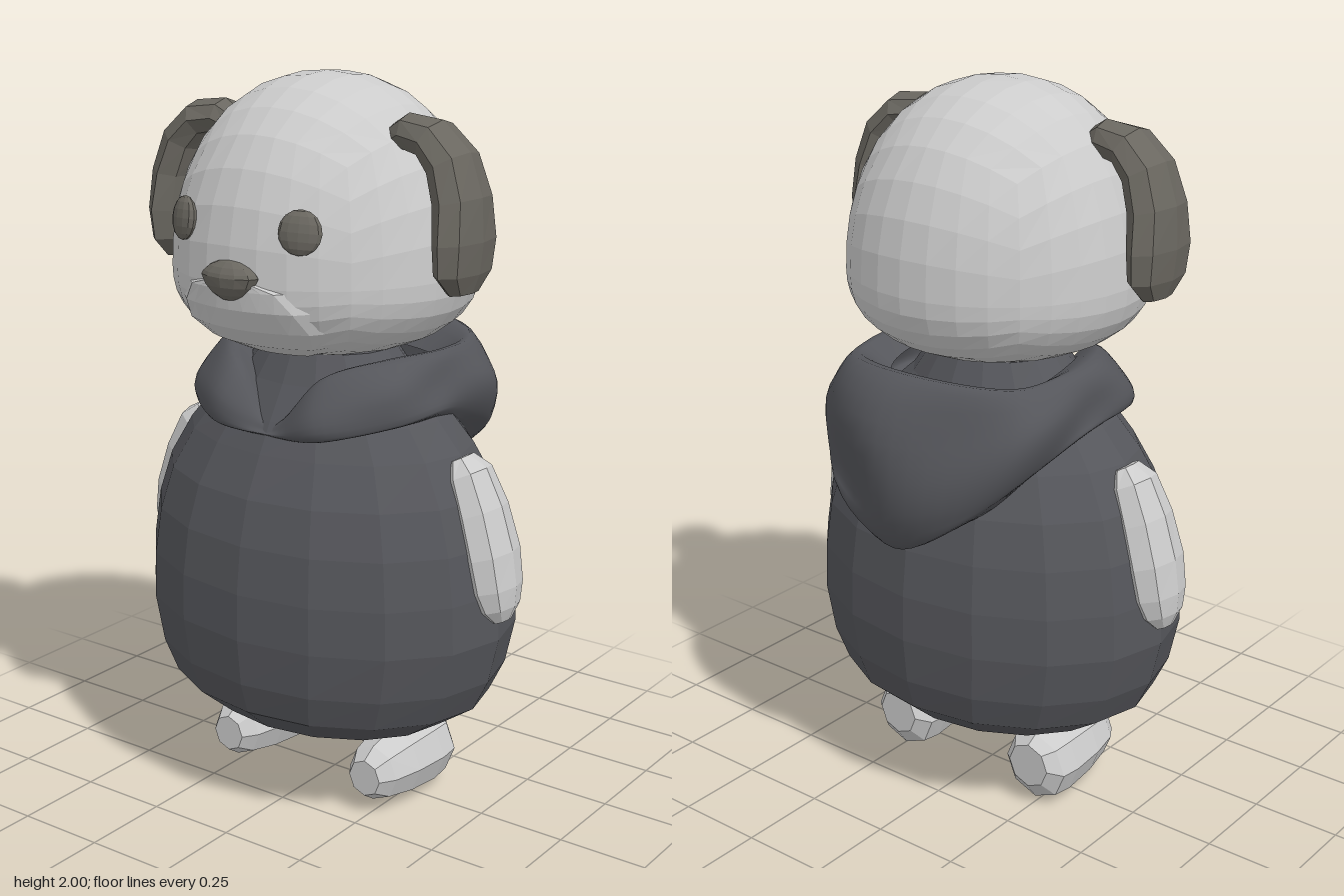
import * as THREE from 'three';

const grey = new THREE.MeshStandardMaterial({ color: 0xcccccc, flatShading: true });
const greyThin = new THREE.MeshStandardMaterial({ color: 0xcccccc, flatShading: true, side: THREE.DoubleSide });
const brown = new THREE.MeshStandardMaterial({ color: 0x6a6760, flatShading: true });
const cloth = new THREE.MeshStandardMaterial({ color: 0x55565b, flatShading: true });
const softCloth = new THREE.MeshStandardMaterial({ color: 0x55565b, side: THREE.DoubleSide });

const V = (x, y, z) => new THREE.Vector3(x, y, z);

// Skin a list of rings (equal point counts), optionally closed round and capped at both ends
function loft(rings, { closed = true, caps = true } = {}) {
  const n = rings[0].length, pos = [], idx = [];
  rings.forEach(r => r.forEach(p => pos.push(p.x, p.y, p.z)));
  for (let i = 0; i < rings.length - 1; i++) {
    for (let j = 0; j < (closed ? n : n - 1); j++) {
      const k = (j + 1) % n, a = i * n + j, b = i * n + k;
      idx.push(a, b, b + n, a, b + n, a + n);
    }
  }
  if (caps) {
    [0, rings.length - 1].forEach((row, end) => {
      const c = rings[row].reduce((s, p) => s.add(p), V(0, 0, 0)).divideScalar(n);
      const ci = pos.length / 3;
      pos.push(c.x, c.y, c.z);
      for (let j = 0; j < n; j++) {
        const a = row * n + j, b = row * n + (j + 1) % n;
        end ? idx.push(ci, a, b) : idx.push(ci, b, a);
      }
    });
  }
  const g = new THREE.BufferGeometry();
  g.setAttribute('position', new THREE.Float32BufferAttribute(pos, 3));
  g.setIndex(idx);
  g.computeVertexNormals();
  return g;
}

// Sweep an ellipse along sections [x, y, z, radius across, radius along axis]
function sweep(sections, axis, sides = 8) {
  const c = sections.map(s => V(s[0], s[1], s[2]));
  return loft(sections.map((s, i) => {
    const t = c[Math.min(i + 1, c.length - 1)].clone().sub(c[Math.max(i - 1, 0)]).normalize();
    const nrm = axis.clone().cross(t).normalize();
    return Array.from({ length: sides }, (_, j) => {
      const a = (j / sides) * Math.PI * 2;
      return c[i].clone().addScaledVector(nrm, Math.cos(a) * s[3]).addScaledVector(axis, Math.sin(a) * s[4]);
    });
  }));
}

// Head shape: a rounded form, tall above its widest level and flatter below
const HEAD = { y: 1.5, z: 0.035, rx: 0.41, rz: 0.415 };
const upperLower = y => (y > 0 ? { r: 0.5, p: 2.15 } : { r: 0.23, p: 2.4 });

function headGeometry() {
  const g = new THREE.BoxGeometry(2, 2, 2, 8, 8, 8);
  const p = g.attributes.position, d = V(0, 0, 0);
  for (let i = 0; i < p.count; i++) {
    d.fromBufferAttribute(p, i);
    // even out the spacing of the cube grid
    d.set(Math.tan(d.x * Math.PI / 4), Math.tan(d.y * Math.PI / 4), Math.tan(d.z * Math.PI / 4)).normalize();
    const s = upperLower(d.y);
    const k = 1 / Math.pow(Math.hypot(d.x, d.z) ** s.p + Math.abs(d.y) ** s.p, 1 / s.p);
    p.setXYZ(i, d.x * k * HEAD.rx, HEAD.y + d.y * k * s.r, HEAD.z + d.z * k * HEAD.rz);
  }
  g.computeVertexNormals();
  return g;
}

// Depth of the front of the head at a given x, y
function headZ(x, y) {
  const s = upperLower(y - HEAD.y);
  const h = Math.pow(Math.max(0, 1 - Math.abs((y - HEAD.y) / s.r) ** s.p), 1 / s.p);
  return HEAD.z + HEAD.rz * Math.sqrt(Math.max(0, h * h - (x / HEAD.rx) ** 2));
}

// Thin muzzle patch following the face, its rim tucked in
function muzzleGeometry() {
  const rows = [[1.29, 0.1], [1.3, 0.13], [1.335, 0.2], [1.385, 0.235], [1.44, 0.21], [1.49, 0.16], [1.51, 0.08], [1.515, 0.07]];
  const cols = 10;
  return loft(rows.map(([y, w], i) => Array.from({ length: cols + 1 }, (_, j) => {
    const x = w * (2 * j / cols - 1);
    const rim = i === 0 || i === rows.length - 1 || j === 0 || j === cols;
    const k = rim ? 0.99 : 1.02;
    return V(x * k, HEAD.y + (y - HEAD.y) * k, HEAD.z + (headZ(x, y) - HEAD.z) * k);
  })), { closed: false, caps: false });
}

function bodyGeometry() {
  // y, half width, half depth
  const rows = [
    [0.22, 0.13, 0.1], [0.245, 0.37, 0.29], [0.32, 0.48, 0.375], [0.41, 0.525, 0.402], [0.54, 0.555, 0.415],
    [0.67, 0.55, 0.413], [0.8, 0.53, 0.397], [0.92, 0.49, 0.365], [1.03, 0.425, 0.31], [1.11, 0.355, 0.265],
    [1.2, 0.25, 0.21], [1.28, 0.19, 0.17],
  ];
  return loft(rows.map(([y, a, b]) => Array.from({ length: 16 }, (_, j) => {
    const t = (j / 16) * Math.PI * 2;
    return V(Math.sin(t) * a, y, 0.025 + Math.cos(t) * b);
  })));
}

// Draped hood: rails run from front centre round the left side to back centre, then mirror
function hoodGeometry() {
  const rails = [
    [[0, 1.07, 0.2], [0.14, 1.07, 0.2], [0.26, 1.1, 0.1], [0.28, 1.08, -0.06], [0.2, 0.93, -0.27], [0, 0.85, -0.35]],
    [[0, 1.07, 0.29], [0.16, 1.08, 0.29], [0.3, 1.11, 0.15], [0.33, 1.1, -0.06], [0.22, 0.95, -0.37], [0, 0.83, -0.43]],
    [[0, 1.08, 0.31], [0.18, 1.1, 0.32], [0.33, 1.13, 0.18], [0.35, 1.13, -0.06], [0.28, 1.02, -0.36], [0, 0.94, -0.46]],
    [[0, 1.09, 0.3], [0.16, 1.17, 0.31], [0.32, 1.21, 0.17], [0.345, 1.21, -0.06], [0.31, 1.17, -0.32], [0, 1.14, -0.48]],
    [[0, 1.1, 0.28], [0.14, 1.24, 0.25], [0.26, 1.28, 0.12], [0.3, 1.275, -0.08], [0.27, 1.28, -0.27], [0, 1.3, -0.38]],
    [[0, 1.09, 0.23], [0.11, 1.2, 0.2], [0.2, 1.25, 0.1], [0.23, 1.24, -0.08], [0.19, 1.22, -0.2], [0, 1.22, -0.26]],
  ].map(r => {
    const half = r.map(p => V(...p));
    const other = half.slice(1, -1).reverse().map(p => V(-p.x, p.y, p.z));
    return new THREE.CatmullRomCurve3([...half, ...other], true);
  });
  const around = 72, across = 20, rings = Array.from({ length: across + 1 }, () => []);
  for (let j = 0; j < around; j++) {
    const section = new THREE.CatmullRomCurve3(rails.map(r => r.getPoint(j / around)));
    const t = (j / around) * Math.PI * 2, back = 0.5 - 0.5 * Math.cos(t);
    for (let i = 0; i <= across; i++) {
      const v = i / across, p = section.getPoint(v);
      // slanting cloth folds, stronger toward the back
      const fold = Math.sin(7 * t + 9 * v) * 0.5 + Math.sin(4 * t - 16 * v + 1) * 0.5;
      const amp = fold * (0.004 + 0.014 * back) * Math.sin(v * Math.PI);
      p.x += Math.sin(t) * amp;
      p.z += Math.cos(t) * amp;
      p.y += amp * 0.5;
      rings[i].push(p);
    }
  }
  return loft(rings, { caps: false });
}

// Nose: flat-topped rounded wedge
function noseGeometry() {
  const g = new THREE.SphereGeometry(1, 12, 8), p = g.attributes.position;
  for (let i = 0; i < p.count; i++) {
    const x = p.getX(i), y = p.getY(i), z = p.getZ(i);
    const flat = y > 0 ? Math.pow(y, 1.5) * 0.04 : y * 0.065;
    p.setXYZ(i, x * 0.088 * (y < 0 ? 1 + 0.2 * y : 1), flat, z * 0.045);
  }
  g.computeVertexNormals();
  return g;
}

export function createModel() {
  const model = new THREE.Group();
  const add = (name, geometry, material) => {
    const m = new THREE.Mesh(geometry, material);
    m.name = name;
    model.add(m);
    return m;
  };

  add('body', bodyGeometry(), cloth);
  add('hood', hoodGeometry(), softCloth);
  add('head', headGeometry(), grey);
  add('muzzle', muzzleGeometry(), greyThin);
  add('nose', noseGeometry(), brown).position.set(0, 1.525, 0.442);

  const zAxis = V(0, 0, 1), yAxis = V(0, 1, 0);
  // x, y, z, radius across, radius along the axis
  const ear = [
    [0.26, 1.845, 0.09, 0.04, 0.05], [0.3, 1.865, 0.09, 0.05, 0.065], [0.37, 1.855, 0.09, 0.055, 0.08],
    [0.425, 1.8, 0.09, 0.06, 0.09], [0.455, 1.71, 0.09, 0.06, 0.105], [0.463, 1.61, 0.09, 0.057, 0.123],
    [0.46, 1.53, 0.09, 0.05, 0.115], [0.462, 1.478, 0.09, 0.028, 0.06],
  ];
  const arm = [
    [0.43, 1.025, 0.025, 0.025, 0.045], [0.45, 0.985, 0.025, 0.06, 0.075], [0.49, 0.89, 0.025, 0.068, 0.09],
    [0.525, 0.78, 0.025, 0.068, 0.098], [0.542, 0.69, 0.025, 0.064, 0.09], [0.555, 0.635, 0.025, 0.048, 0.07],
    [0.565, 0.6, 0.025, 0.02, 0.035],
  ];
  const foot = [
    [0.24, 0.125, -0.145, 0.065, 0.065], [0.24, 0.11, -0.11, 0.1, 0.1], [0.24, 0.108, -0.05, 0.105, 0.106],
    [0.24, 0.11, 0.06, 0.098, 0.098], [0.24, 0.11, 0.15, 0.078, 0.08], [0.24, 0.11, 0.193, 0.05, 0.052],
  ];
  for (const [side, s] of [['left', 1], ['right', -1]]) {
    const place = list => list.map(([x, ...rest]) => [x * s, ...rest]);
    add(side + 'Ear', sweep(place(ear), zAxis), brown);
    add(side + 'Arm', sweep(place(arm), zAxis), grey);
    add(side + 'Foot', sweep(place(foot), yAxis), grey);

    const eye = add(side + 'Eye', new THREE.SphereGeometry(0.056, 12, 8), brown);
    eye.scale.set(1, 1.02, 0.4);
    eye.position.set(0.185 * s, 1.645, headZ(0.185, 1.645) + 0.008);
    eye.rotation.set(-0.15, 0.42 * s, 0);
  }
  return model;
}
